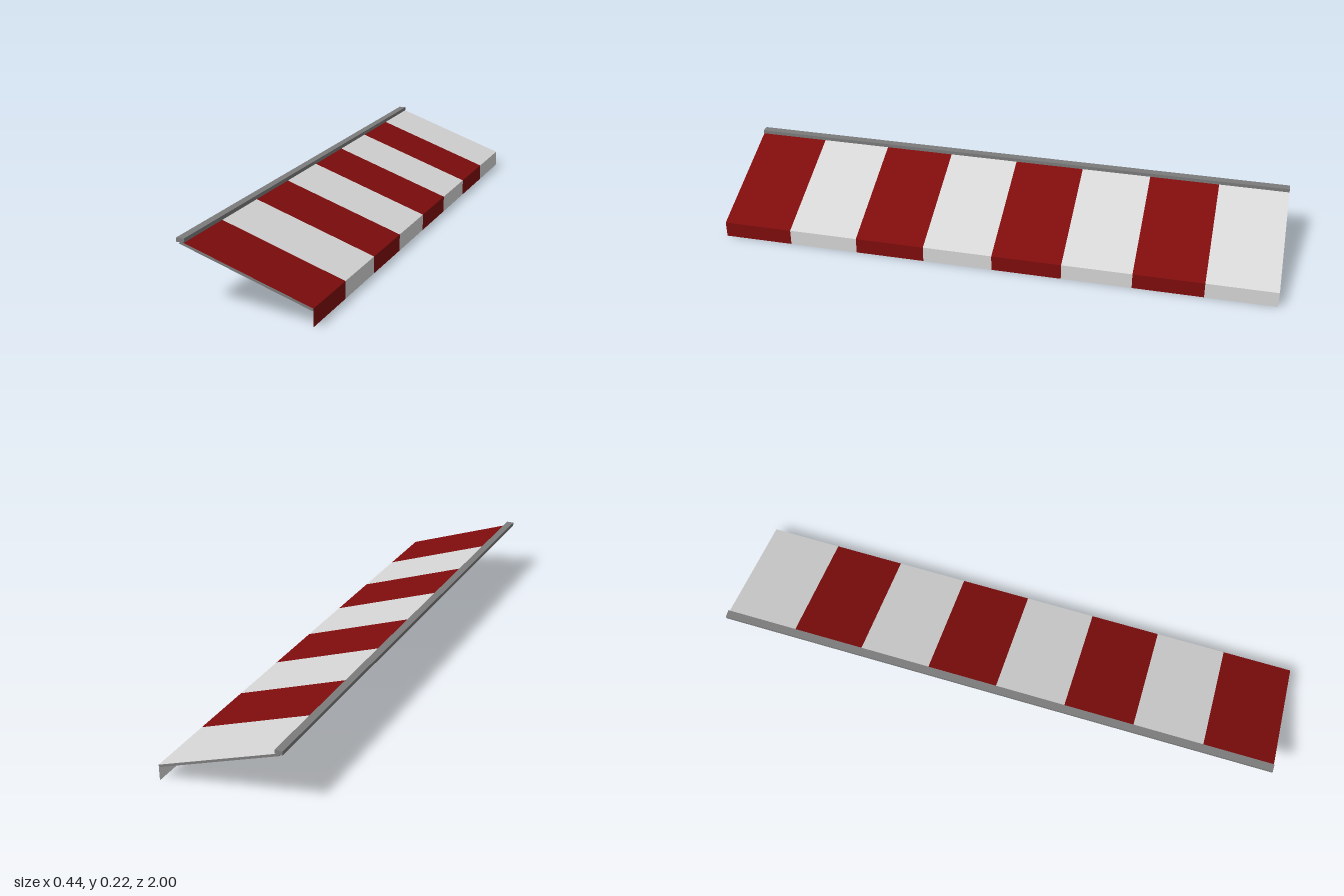
import * as THREE from 'three';

export function createModel() {
  const metal = new THREE.MeshStandardMaterial({ color: 0x7c7c7c });
  const red = new THREE.MeshStandardMaterial({ color: 0x800d0d, side: THREE.DoubleSide });
  const white = new THREE.MeshStandardMaterial({ color: 0xd8d8d8, side: THREE.DoubleSide });
  metal.name = 'greyMetal';
  red.name = 'redFabric';
  white.name = 'whiteFabric';

  const group = new THREE.Group();
  group.name = 'awning';
  const add = (name, geometry, material, x, y, z, tilt = 0) => {
    const mesh = new THREE.Mesh(geometry, material);
    mesh.name = name;
    mesh.position.set(x, y, z);
    mesh.rotation.z = tilt;
    group.add(mesh);
  };

  // Slope of the canopy, from the wall bar down to the front edge
  const top = new THREE.Vector2(-0.208, 0.2125);
  const low = new THREE.Vector2(0.22, 0.0575);
  const length = top.distanceTo(low);
  const tilt = Math.atan2(low.y - top.y, low.x - top.x);
  const midX = (top.x + low.x) / 2;
  const midY = (top.y + low.y) / 2;

  // Wall bar
  add('wallBar', new THREE.BoxGeometry(0.027, 0.013, 2), metal, -0.2075, 0.2155, 0);

  // Striped canopy and hanging valance
  const stripes = 8;
  const width = 2 / stripes;
  const canopy = new THREE.PlaneGeometry(length, width).rotateX(-Math.PI / 2);
  const valance = new THREE.PlaneGeometry(width, low.y).rotateY(Math.PI / 2);
  for (let i = 0; i < stripes; i++) {
    const z = -1 + (i + 0.5) * width;
    const material = i % 2 ? red : white;
    add('canopyStripe', canopy, material, midX, midY, z, tilt);
    add('valanceStripe', valance, material, low.x, low.y / 2, z);
  }

  // Ribs under the canopy, at both ends and at every stripe seam
  const thick = 0.008;
  const drop = thick / 2 + 0.0006;
  const rib = new THREE.BoxGeometry(length, thick, thick);
  for (let i = 0; i <= stripes; i++) {
    const z = THREE.MathUtils.clamp(-1 + i * width, -1 + thick / 2, 1 - thick / 2);
    add('rib', rib, metal, midX + Math.sin(tilt) * drop, midY - Math.cos(tilt) * drop, z, tilt);
  }

  return group;
}
